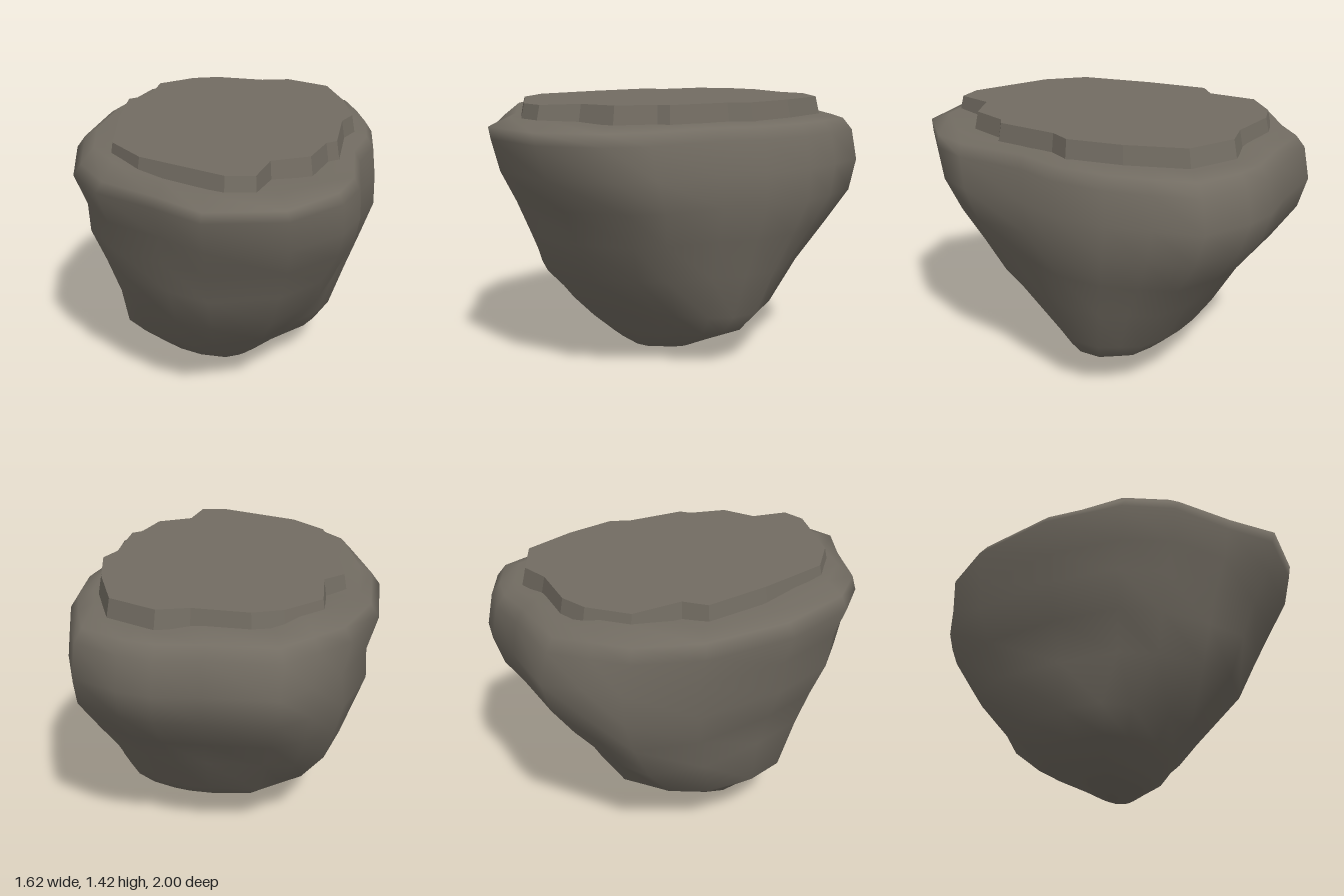
import * as THREE from 'three';
import { mergeVertices } from 'three/addons/utils/BufferGeometryUtils.js';

// Skin a stack of closed rings, listed from bottom to top.
function loft(rings, smooth) {
  const n = rings[0].length;
  const positions = rings.flat(2);
  const index = [];
  for (let i = 0; i < rings.length - 1; i++) {
    for (let j = 0; j < n; j++) {
      const a = i * n + j, b = i * n + (j + 1) % n;
      index.push(a, b + n, b, a, a + n, b + n);
    }
  }
  let geometry = new THREE.BufferGeometry();
  geometry.setAttribute('position', new THREE.Float32BufferAttribute(positions, 3));
  geometry.setIndex(index);
  geometry = smooth ? mergeVertices(geometry, 1e-4) : geometry.toNonIndexed();
  geometry.computeVertexNormals();
  return geometry;
}

// Widest outline of the rock seen from above: x, z
const rockOutline = [
  [-0.21, -1], [0.15, -0.95], [0.37, -0.94], [0.53, -0.88], [0.74, -0.73], [0.785, -0.5],
  [0.81, -0.28], [0.78, 0], [0.68, 0.22], [0.63, 0.59], [0.53, 0.78], [0.27, 0.98],
  [-0.12, 1], [-0.34, 0.83], [-0.62, 0.65], [-0.76, 0.42], [-0.81, 0], [-0.72, -0.47],
  [-0.54, -0.77], [-0.38, -0.88],
];

// Height, reach to -x, +x, -z, +z, and how far the section narrows to a lens
const rockLevels = [
  [0.04, 0.18, 0.17, 0.1, 0.17, 0.7],
  [0.1, 0.35, 0.29, 0.21, 0.255, 0.75],
  [0.2, 0.45, 0.5, 0.41, 0.37, 0.75],
  [0.31, 0.575, 0.585, 0.53, 0.475, 0.7],
  [0.55, 0.6, 0.67, 0.67, 0.705, 0.5],
  [0.75, 0.67, 0.745, 0.83, 0.785, 0.3],
  [0.93, 0.745, 0.81, 0.955, 0.86, 0.12],
  [1.09, 0.75, 0.805, 1, 0.945, 0],
  [1.25, 0.81, 0.785, 0.965, 0.985, 0],
  [1.31, 0.765, 0.745, 0.92, 1, 0],
  [1.35, 0.7, 0.67, 0.85, 0.89, 0],
  [1.33, 0.45, 0.45, 0.6, 0.6, 0],
];

// Positive values pinch a corner towards the lens, negative ones swell it
function cornerPinch(x, y, z) {
  if (x > 0 && z > 0) return y < 0.4 ? 1.8 : 1.3;
  if (x > 0) return 0.5;
  if (z > 0) return x > -0.5 ? -2 : -0.3;
  if (y > 0.5 && x < -0.3) return -2;
  return y > 0.25 ? 0 : 0.6;
}

// Two low humps on the -x part of the rim, a slight dip on the +x part
function rimRise(x, z) {
  if (x > 0.3) return -0.02;
  return x < -0.35 && (z > 0.4 || z < -0.7) ? 0.03 : 0;
}

// Each section is the outline stretched to its reach, then pinched or swollen
function rockRing([y, left, right, back, front, pinch]) {
  return rockOutline.map(([x, z]) => {
    const u = x / 0.81;
    const sum = Math.abs(u) + Math.abs(z + 0.1 * (1 - Math.abs(z)));
    const k = THREE.MathUtils.lerp(1, 1.18 / Math.max(sum, 1.18), pinch * cornerPinch(x, y, z));
    const rise = y === 1.35 ? rimRise(x, z) : 0;
    return [u * k * (u < 0 ? left : right), y + rise, z * k * (z < 0 ? back : front)];
  });
}

// Outline of the raised slab: x, z
const slabOutline = [
  [-0.08, -0.8], [0.19, -0.735], [0.35, -0.75], [0.57, -0.6], [0.635, -0.3], [0.65, -0.02],
  [0.585, 0.08], [0.525, 0.4], [0.47, 0.43], [0.38, 0.62], [0.19, 0.68], [0.12, 0.87],
  [-0.02, 0.87], [-0.42, 0.63], [-0.57, 0.43], [-0.59, 0.03], [-0.575, -0.32], [-0.465, -0.39],
  [-0.425, -0.65], [-0.23, -0.775],
];
const slabRing = (y, s) => slabOutline.map(([x, z]) => [x * s, y, z * s]);
const pointRing = (x, y, z) => rockOutline.map(() => [x, y, z]);

export function createModel() {
  const group = new THREE.Group();
  group.name = 'floatingRock';

  const stone = new THREE.MeshStandardMaterial({ color: 0x726c62 });
  stone.name = 'stone';

  // Tapering rock body
  const body = new THREE.Mesh(loft([
    pointRing(-0.04, 0, 0), ...rockLevels.map(rockRing), pointRing(0, 1.33, 0),
  ], true), stone);
  body.name = 'rockBody';
  group.add(body);

  // Flat slab on top, with slightly sloping sides
  const slab = new THREE.Mesh(loft([
    slabRing(1.3, 1.015), slabRing(1.42, 0.98), pointRing(0, 1.42, 0),
  ], false), stone);
  slab.name = 'topSlab';
  group.add(slab);

  return group;
}
